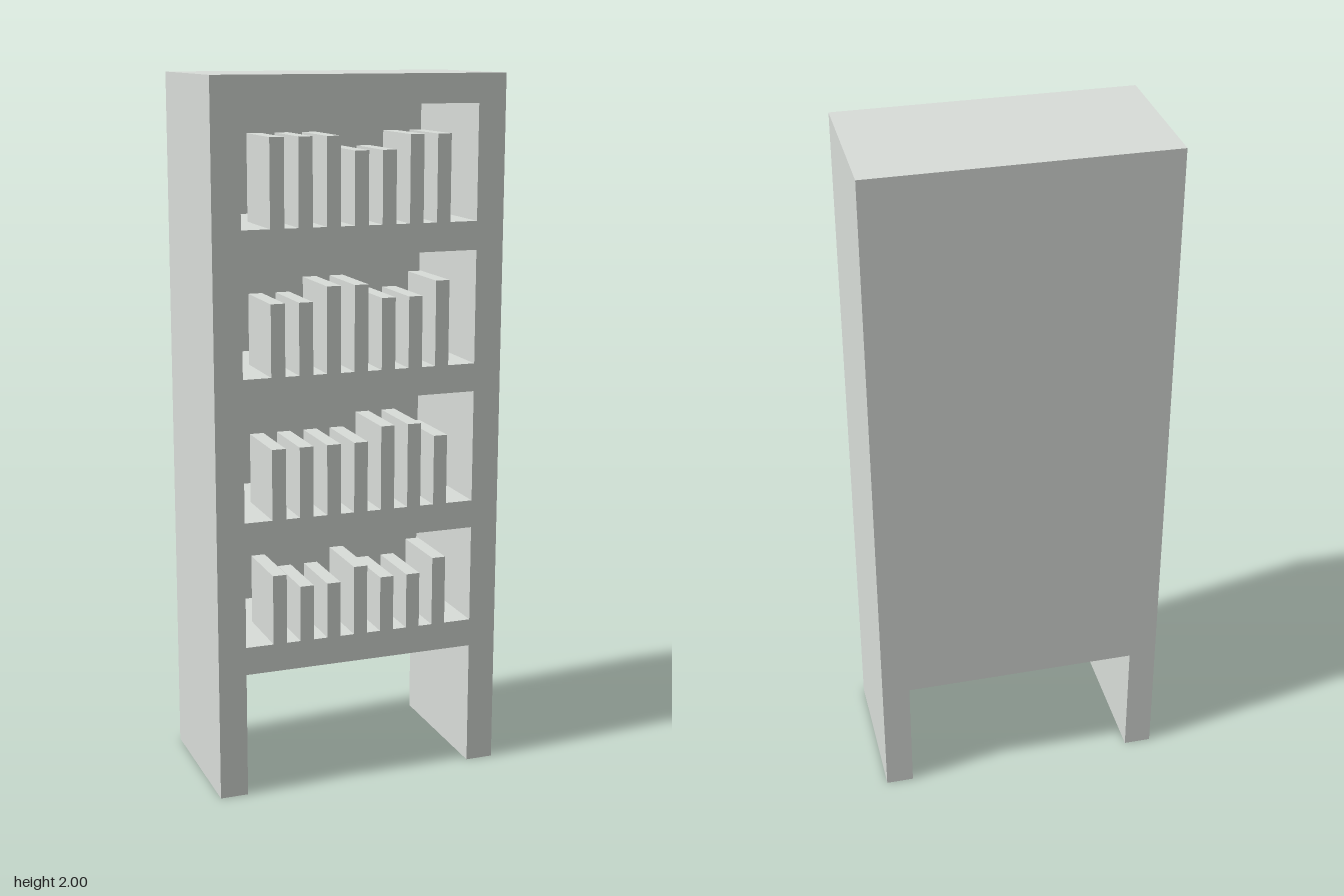
import * as THREE from 'three';

const HALF_W = 0.42, HEIGHT = 2, FRONT = 0.22, BACK = -0.22;
const INNER = 0.34, LEG_TOP = 0.36, BACK_T = 0.04;
const BOOK_W = 0.04, BOOK_DEPTH = 0.2, BOOK_STEP = 0.08;

// Each shelf: floor height, ceiling height, and its book heights from right (-x) to left (+x)
const SHELVES = [
  { floor: 0.44, top: 0.72, books: [0.2, 0.16, 0.16, 0.2, 0.16, 0.16, 0.2] },
  { floor: 0.8, top: 1.12, books: [0.2, 0.2, 0.2, 0.2, 0.24, 0.24, 0.2] },
  { floor: 1.2, top: 1.52, books: [0.2, 0.2, 0.24, 0.24, 0.2, 0.2, 0.24] },
  { floor: 1.6, top: 1.92, books: [0.24, 0.24, 0.24, 0.2, 0.2, 0.24, 0.24] },
];

const polygon = (Type, points) => new Type(points.map(([x, y]) => new THREE.Vector2(x, y)));

// Outline of the case, with the gap between the two side legs
const caseOutline = () => polygon(THREE.Shape, [
  [-HALF_W, 0], [-INNER, 0], [-INNER, LEG_TOP], [INNER, LEG_TOP],
  [INNER, 0], [HALF_W, 0], [HALF_W, HEIGHT], [-HALF_W, HEIGHT],
]);

export function createModel() {
  const group = new THREE.Group();
  group.name = 'bookcase';
  const grey = new THREE.MeshStandardMaterial({ color: 0xdadeda });
  grey.name = 'pale grey';

  const add = (name, geometry, parent = group) => {
    const mesh = new THREE.Mesh(geometry, grey);
    mesh.name = name;
    parent.add(mesh);
    return mesh;
  };

  // Frame with the shelf openings cut through it
  const frame = caseOutline();
  for (const { floor, top } of SHELVES) {
    frame.holes.push(polygon(THREE.Path, [
      [-INNER, floor], [-INNER, top], [INNER, top], [INNER, floor],
    ]));
  }
  add('frame', new THREE.ExtrudeGeometry(frame, { depth: FRONT - BACK - BACK_T, bevelEnabled: false }))
    .position.z = BACK + BACK_T;

  // Back layer, including the rear edge of the legs
  add('backPanel', new THREE.ExtrudeGeometry(caseOutline(), { depth: BACK_T, bevelEnabled: false }))
    .position.z = BACK;

  // Rows of books, flush with the front
  SHELVES.forEach(({ floor, books }, row) => {
    const rowGroup = new THREE.Group();
    rowGroup.name = `bookRow${row + 1}`;
    group.add(rowGroup);
    books.forEach((h, i) => {
      add('book', new THREE.BoxGeometry(BOOK_W, h, BOOK_DEPTH), rowGroup)
        .position.set((i - 3) * BOOK_STEP, floor + h / 2, FRONT - BOOK_DEPTH / 2);
    });
  });

  return group;
}
